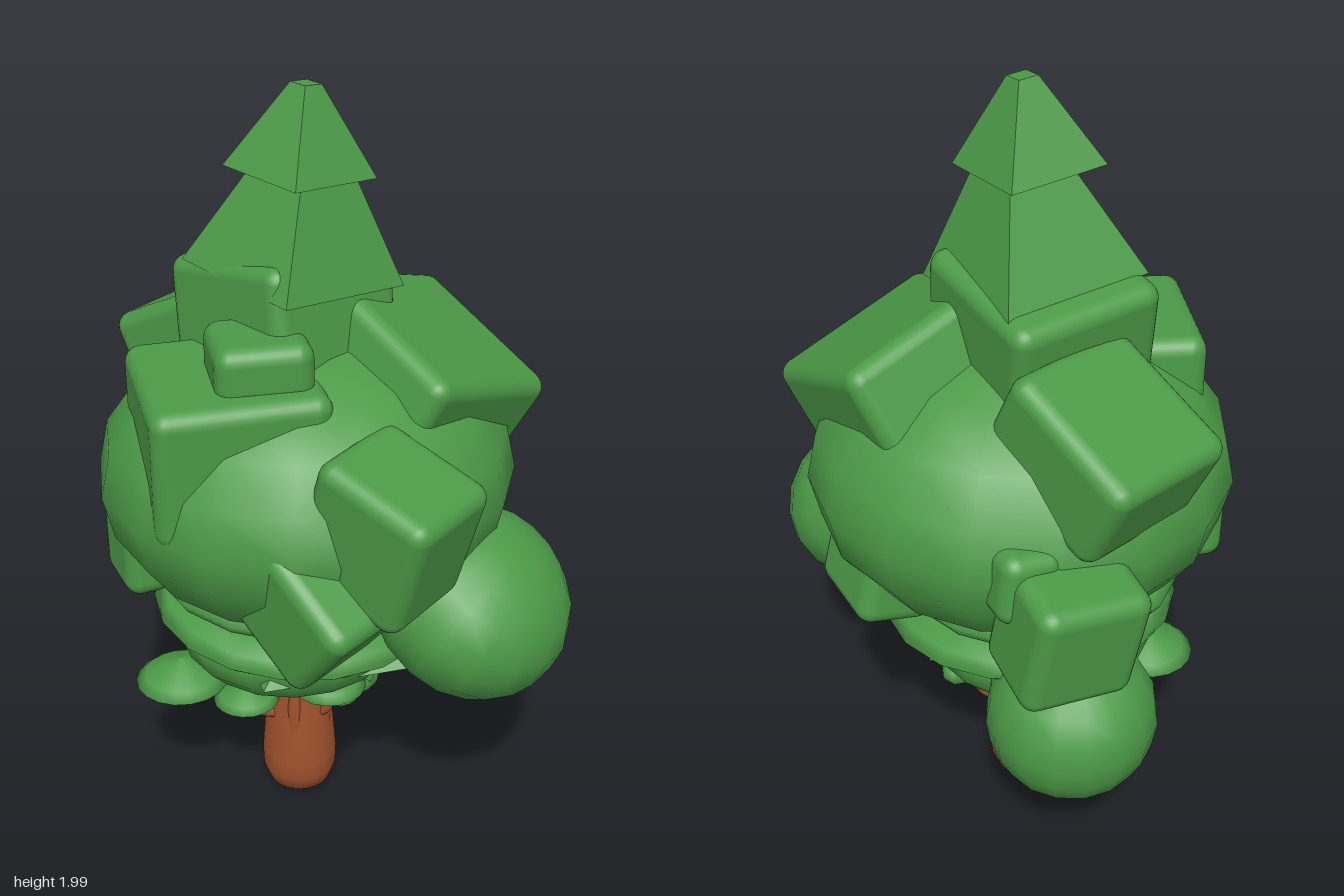
import * as THREE from 'three';
import { RoundedBoxGeometry } from 'three/addons/geometries/RoundedBoxGeometry.js';

export function createModel() {
  const tree = new THREE.Group();
  tree.name = 'tree';
  const leaf = new THREE.MeshStandardMaterial({ color: 0x4c9a47 });
  leaf.name = 'leafGreen';
  const bark = new THREE.MeshStandardMaterial({ color: 0xa0522d });
  bark.name = 'barkBrown';

  function add(name, geo, mat, pos = [0, 0, 0], rot = [0, 0, 0]) {
    const m = new THREE.Mesh(geo, mat);
    m.name = name;
    m.position.set(...pos);
    m.rotation.set(...rot, 'YXZ');
    tree.add(m);
    return m;
  }
  const ball = (name, pos, radii, rot, seg = 16) =>
    add(name, new THREE.SphereGeometry(1, seg, 10), leaf, pos, rot).scale.set(...radii);
  const block = (name, pos, size, rot, r = 0.04) =>
    add(name, new RoundedBoxGeometry(...size, 3, r), leaf, pos, rot);

  // Flat-faced four-sided pyramid with a blunt tip; side is the base edge
  function pyramid(name, pos, side, top, h, rot) {
    const geo = new THREE.CylinderGeometry(top * Math.SQRT1_2, side * Math.SQRT1_2, h, 4)
      .rotateY(Math.PI / 4).toNonIndexed();
    geo.computeVertexNormals();
    add(name, geo, leaf, pos, rot);
  }

  // Shallow dome with a thin rim
  function cap(name, pos, r, h, rot) {
    const pts = [[0, -h * 0.25], [r * 0.8, -h * 0.2], [r, 0], [r * 0.8, h * 0.3], [r * 0.35, h * 0.75], [0, h]];
    add(name, new THREE.LatheGeometry(pts.map(p => new THREE.Vector2(...p)), 18), leaf, pos, rot);
  }

  // Trunk with a rounded foot
  const profile = [[0, 0.005], [0.05, 0.018], [0.085, 0.035], [0.102, 0.08], [0.104, 0.14], [0.095, 0.25], [0.08, 0.38], [0.07, 0.5]];
  add('trunk', new THREE.LatheGeometry(profile.map(p => new THREE.Vector2(...p)), 20), bark, [-0.1, 0, 0]);

  // Branches
  const branches = [
    [0.033, [-0.1, 0.3, -0.03], [-0.2, 0.34, -0.13], [-0.29, 0.37, -0.2], [-0.34, 0.46, -0.25]],
    [0.016, [-0.12, 0.27, 0.05], [-0.17, 0.3, 0.1], [-0.19, 0.34, 0.12]],
    [0.016, [-0.06, 0.27, 0.02], [-0.01, 0.3, 0.02], [0.01, 0.4, 0.02]],
    [0.018, [-0.06, 0.26, -0.04], [0, 0.29, -0.07], [0.03, 0.35, -0.08]],
  ];
  for (const [r, ...pts] of branches) {
    const path = new THREE.CatmullRomCurve3(pts.map(p => new THREE.Vector3(...p)));
    add('branch', new THREE.TubeGeometry(path, 10, r, 8), bark);
  }
  // Raised ridges on the trunk
  for (let i = 0; i < 5; i++) {
    const a = i * 1.25 + 0.3;
    const m = add('barkRidge', new THREE.SphereGeometry(1, 8, 8), bark,
      [-0.1 + Math.sin(a) * 0.075, 0.27, Math.cos(a) * 0.075]);
    m.scale.set(0.022, 0.13, 0.022);
  }

  // Rounded foliage masses
  ball('crown', [-0.07, 1.04, 0], [0.525, 0.37, 0.53]);
  ball('lowerFoliage', [-0.11, 0.57, 0], [0.32, 0.175, 0.3], [0, 0, 0.1]);
  ball('leftBall', [0.385, 0.757, 0], [0.265, 0.22, 0.275], [0, 0, -0.6]);
  ball('rightBackBall', [-0.39, 0.535, -0.235], [0.212, 0.21, 0.215]);

  // Skirts between lower foliage and crown
  cap('widePlate', [-0.1, 0.64, 0], 0.38, 0.15, [0, 0, -0.06]);
  ball('plateEdge', [-0.1, 0.645, 0], [0.375, 0.08, 0.375], [0, 0, -0.06]);
  ball('neckFoliage', [-0.12, 0.74, 0], [0.37, 0.08, 0.35], [0, 0, -0.05]);
  pyramid('squareSkirt', [-0.02, 0.585, 0.01], 0.43, 0.24, 0.09, [0, 0.7, 0]);

  // Small plates at branch ends
  cap('leafPlate', [-0.35, 0.42, 0.2], 0.125, 0.065);
  cap('leafPlate', [-0.2, 0.345, 0.12], 0.09, 0.045);
  cap('leafPlate', [0.015, 0.41, 0.05], 0.1, 0.055);
  cap('leafPlate', [0.03, 0.37, 0.03], 0.06, 0.03);

  // Little cluster behind the trunk
  ball('sproutBall', [0.05, 0.365, -0.09], [0.05, 0.048, 0.078], [0, 0, 0], 10);
  block('sproutBlock', [0.05, 0.4, -0.08], [0.08, 0.08, 0.09], [0, 0.3, 0.1], 0.02);
  pyramid('sproutTier', [0.06, 0.445, -0.08], 0.1, 0.04, 0.06, [0, 0.3, 0]);
  pyramid('sproutTip', [0.06, 0.475, -0.08], 0.07, 0.02, 0.05, [0, 0.3, 0]);

  // Rounded blocks over the crown: position, size, tilt
  const blocks = [
    ['leftTopBlock', [0.14, 1.265, -0.135], [0.47, 0.32, 0.47], [-0.3, -0.28, -0.42]],
    ['rightTopBlock', [-0.405, 1.28, -0.17], [0.38, 0.26, 0.35], [0, -0.2, 0.45]],
    ['rightBackBlock', [-0.45, 0.92, -0.36], [0.23, 0.3, 0.28], [0.1, -0.5, 0.15]],
    ['rightBackSmallBlock', [-0.33, 1.03, -0.385], [0.17, 0.18, 0.15], [0.1, -0.5, 0]],
    ['leftFrontBlock', [0.285, 1.1, 0.31], [0.31, 0.33, 0.27], [0.05, -0.25, -0.3]],
    ['lowFrontBlock', [0.125, 0.91, 0.36], [0.32, 0.29, 0.27], [0.1, -0.35, -0.68]],
    ['frontBlock', [-0.165, 1.205, 0.235], [0.42, 0.35, 0.42], [0.04, 0.7, 0]],
    ['frontSmallBlock', [-0.085, 1.41, 0.22], [0.23, 0.14, 0.23], [0, 0.65, 0]],
    ['topBlock', [-0.13, 1.435, -0.01], [0.4, 0.31, 0.39], [-0.07, -0.39, 0.16]],
    ['rightFrontBlock', [-0.385, 0.885, 0.245], [0.2, 0.24, 0.2], [0, -0.7, 0]],
    ['backBlock', [0.1, 0.87, -0.34], [0.26, 0.25, 0.2], [0.25, -0.45, 0]],
  ];
  for (const b of blocks) block(...b);

  // Pointed top in two tiers
  pyramid('spireLower', [-0.085, 1.71, -0.01], 0.375, 0.1, 0.33, [-0.1, -0.39, -0.06]);
  pyramid('spireTip', [-0.065, 1.897, 0.015], 0.25, 0.05, 0.2, [-0.07, -0.39, -0.04]);

  return tree;
}
